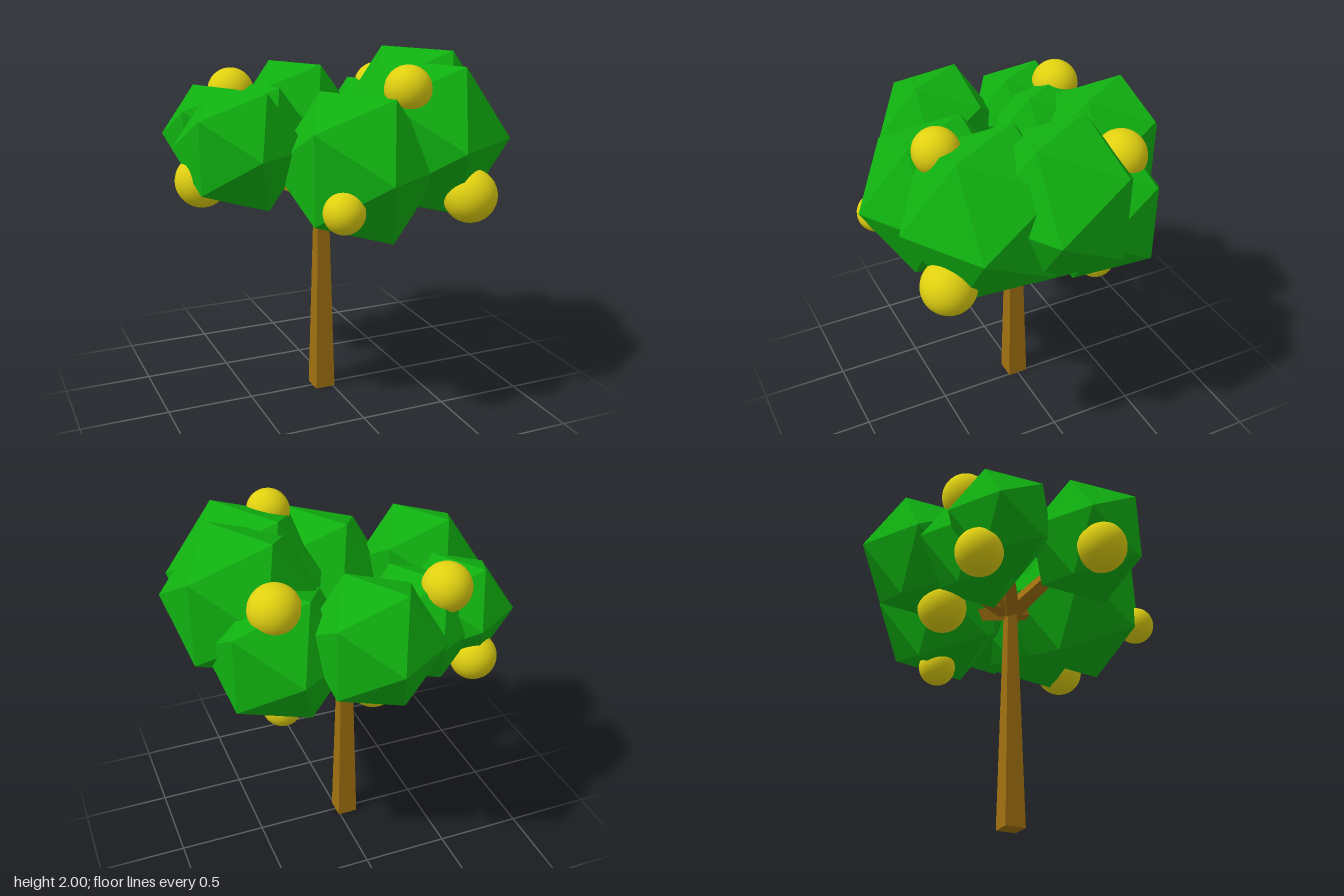
import * as THREE from 'three';

// Leaf clumps and fruits: [x, y, z, radius]
const CLUMPS = [
  [-0.6, 1.55, 0.22, 0.36],
  [0, 1.56, -0.535, 0.375],
  [-0.04, 1.45, 0.46, 0.447],
  [0.4, 1.56, 0.37, 0.47],
  [0.53, 1.62, 0.03, 0.447],
  [0.42, 1.44, -0.25, 0.41],
  [-0.57, 1.53, -0.31, 0.313],
  [-0.32, 1.5, -0.34, 0.34],
];
const FRUITS = [
  [0.205, 1.86, 0.55, 0.125],
  [0.54, 1.285, 0.65, 0.147],
  [-0.24, 1.3, 0.75, 0.108],
  [0.42, 1.09, -0.27, 0.11],
  [-0.43, 1.745, -0.46, 0.135],
  [0.47, 1.74, -0.36, 0.14],
  [-0.8, 1.39, 0.18, 0.14],
  [-0.62, 1.285, -0.46, 0.13],
  [-0.04, 1.24, -0.43, 0.14],
];

export function createModel() {
  const tree = new THREE.Group();
  tree.name = 'fruitTree';
  const bark = new THREE.MeshStandardMaterial({ color: 0xa07010, flatShading: true });
  const leaf = new THREE.MeshStandardMaterial({ color: 0x10b010, flatShading: true });
  const peel = new THREE.MeshStandardMaterial({ color: 0xe0d010 });

  const add = (name, geometry, material, position) => {
    const mesh = new THREE.Mesh(geometry, material);
    mesh.name = name;
    mesh.position.copy(position);
    tree.add(mesh);
    return mesh;
  };

  // Square, tapering trunk
  const trunkHeight = 1.34;
  const trunk = new THREE.CylinderGeometry(0.029 * Math.SQRT2, 0.06 * Math.SQRT2, trunkHeight, 4);
  trunk.rotateY(Math.PI / 4);
  add('trunk', trunk, bark, new THREE.Vector3(-0.05, trunkHeight / 2, 0));

  // Branches spreading from the trunk top into each clump
  const hub = new THREE.Vector3(-0.05, 1.31, 0);
  const up = new THREE.Vector3(0, 1, 0);
  CLUMPS.forEach(([x, y, z], i) => {
    const path = new THREE.Vector3(x, y, z).sub(hub);
    const length = path.length();
    const branch = new THREE.CylinderGeometry(0.035, 0.06, length, 4);
    branch.rotateY(Math.PI / 4);
    const mesh = add(`branch${i + 1}`, branch, bark, hub.clone().addScaledVector(path, 0.5));
    mesh.quaternion.setFromUnitVectors(up, path.normalize());
  });

  // Leaf clumps: icosahedra turned so one corner points to the front
  const ico = new THREE.IcosahedronGeometry(1, 0);
  ico.rotateX(Math.atan(2 / (1 + Math.sqrt(5)))).rotateZ(Math.PI / 2);
  CLUMPS.forEach(([x, y, z, r], i) => {
    add(`leafClump${i + 1}`, ico, leaf, new THREE.Vector3(x, y, z)).scale.setScalar(r);
  });

  // Round fruits
  const ball = new THREE.SphereGeometry(1, 32, 20);
  FRUITS.forEach(([x, y, z, r], i) => {
    add(`fruit${i + 1}`, ball, peel, new THREE.Vector3(x, y, z)).scale.setScalar(r);
  });

  return tree;
}
